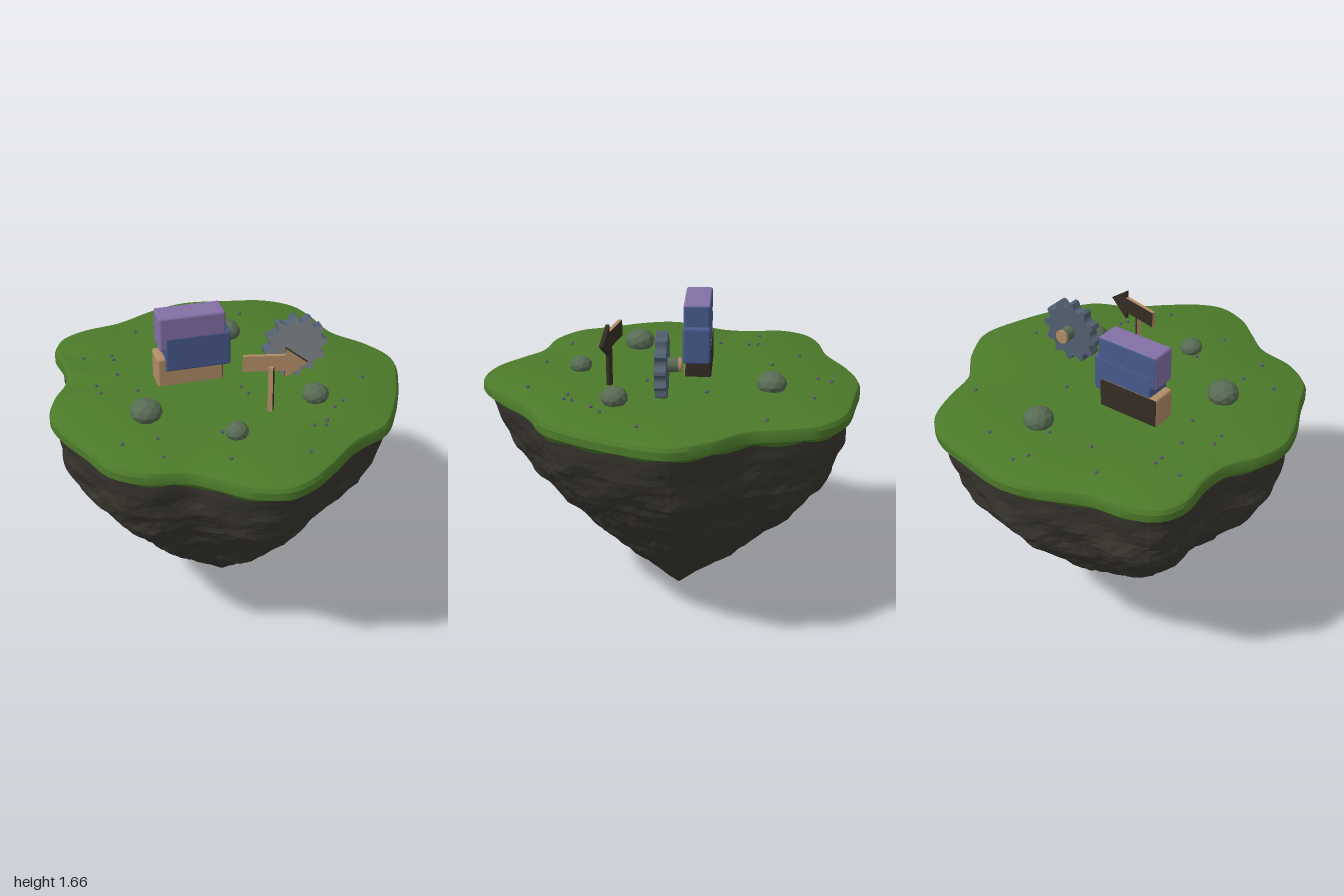
import * as THREE from 'three';
import { toCreasedNormals } from 'three/addons/utils/BufferGeometryUtils.js';
import { RoundedBoxGeometry } from 'three/addons/geometries/RoundedBoxGeometry.js';

const mat = (name, color) => Object.assign(new THREE.MeshStandardMaterial({ color }), { name });

export function createModel() {
  const grass = mat('grass green', 0x4c7a2a);
  const rock = mat('rock brown', 0x39362f);
  const tan = mat('tan wood', 0xb08c66);
  const dark = mat('dark wood', 0x332c23);
  const blue = mat('block blue', 0x485a8c);
  const purple = mat('block purple', 0x8270a4);
  const grey = mat('gear grey', 0x8b9092);
  const slate = mat('gear slate', 0x526070);
  const leaf = mat('bush green', 0x586c54);
  const pebble = mat('pebble violet', 0x5c5678);

  const model = new THREE.Group();
  model.name = 'floatingIsland';
  const add = (name, geometry, material, x = 0, y = 0, z = 0, parent = model) => {
    const mesh = new THREE.Mesh(geometry, material);
    mesh.name = name;
    mesh.position.set(x, y, z);
    parent.add(mesh);
    return mesh;
  };
  const GROUND = 1.262;

  // Wavy island outline as x, z pairs
  const outline = [
    0, -1, 0.24, -0.965, 0.48, -0.905, 0.62, -0.79, 0.68, -0.63, 0.73, -0.42, 0.87, -0.24, 0.95, -0.05,
    0.89, 0.19, 0.785, 0.42, 0.67, 0.59, 0.48, 0.69, 0.3, 0.85, 0.16, 0.955, 0.04, 0.997, -0.13, 0.95,
    -0.26, 0.85, -0.39, 0.75, -0.6, 0.7, -0.75, 0.59, -0.825, 0.42, -0.92, 0.21, -0.95, 0.05, -0.91, -0.1,
    -0.82, -0.26, -0.8, -0.42, -0.82, -0.61, -0.76, -0.74, -0.63, -0.81, -0.42, -0.85, -0.2, -0.95,
  ];
  const knots = [];
  for (let i = 0; i < outline.length; i += 2) knots.push(new THREE.Vector3(outline[i], 0, outline[i + 1]));
  const curve = new THREE.CatmullRomCurve3(knots, true);
  const CX = -0.025, CZ = -0.045;

  // Skin a stack of closed rings; point(i, ring, edge) gives each vertex
  const skin = (segments, rings, point) => {
    const edge = curve.getSpacedPoints(segments);
    const positions = [], index = [];
    for (let k = 0; k < rings; k++) {
      for (let i = 0; i < segments; i++) positions.push(...point(i, k, edge[i]));
    }
    for (let k = 0; k < rings - 1; k++) {
      for (let i = 0; i < segments; i++) {
        const a = k * segments + i, b = k * segments + (i + 1) % segments;
        index.push(a, b + segments, a + segments, a, b, b + segments);
      }
    }
    const g = new THREE.BufferGeometry();
    g.setAttribute('position', new THREE.Float32BufferAttribute(positions, 3));
    g.setIndex(index);
    return g;
  };

  // Turf: flat top, rounded rim and softly scalloped lower edge
  const turfProfile = [[0, GROUND], [0.5, GROUND], [0.972, GROUND], [0.988, 1.255], [1, 1.235], [1, 1.195], [0.975, 1.167], [0.945, 1.19]];
  const turf = skin(240, turfProfile.length, (i, k, p) => {
    const [s, y] = turfProfile[k];
    const drip = k === 6 ? 0.016 * (1 - Math.abs(Math.sin(i * Math.PI / 10))) + 0.005 * Math.sin(i * Math.PI / 24) : 0;
    return [CX + (p.x - CX) * s, y + drip, CZ + (p.z - CZ) * s];
  });
  add('turf', toCreasedNormals(turf, 0.5), grass);

  // Rock: tapering craggy cone, its lobes fading with depth
  const rockProfile = [[1.2, 0.968], [1.1, 0.95], [1, 0.928], [0.88, 0.892], [0.8, 0.845], [0.7, 0.765], [0.6, 0.67],
    [0.5, 0.575], [0.4, 0.48], [0.3, 0.36], [0.2, 0.235], [0.1, 0.115], [0, 0]];
  const radiusAt = (y) => {
    const k = Math.min(11, rockProfile.findIndex((q, j) => j === 12 || y >= rockProfile[j + 1][0]));
    const [y0, r0] = rockProfile[k], [y1, r1] = rockProfile[k + 1];
    return THREE.MathUtils.lerp(r0, r1, (y0 - y) / (y0 - y1));
  };
  let seed = 7;
  const rand = () => (seed = (seed * 16807) % 2147483647) / 2147483647;
  const crag = (x, y, z) => 0.012 * Math.sin(9 * x + 7 * y + 2) * Math.cos(8 * z - 6 * y)
    + 0.008 * Math.sin(17 * x - 19 * y + 9 * z) + 0.007 * Math.sin(27 * y + 14 * z - 12 * x)
    + 0.004 * Math.sin(41 * y + 23 * x + 5);
  const RINGS = 34;
  const cone = skin(110, RINGS, (i, k, p) => {
    const f = k / (RINGS - 1), y0 = 1.2 * (1 - f);
    const dx = p.x - CX, dz = p.z - CZ, d = Math.hypot(dx, dz);
    const base = THREE.MathUtils.lerp(d, 0.93, 0.45 * f);
    const lean = 1 + 0.1 * Math.sin(f * Math.PI) ** 2 * (-0.5 * dx - 0.4 * dz) / d;
    const fade = Math.min(1, f * 4, (1 - f) * 3);
    const r = base * radiusAt(y0) * lean + fade * (crag(dx * (1 - f), y0, dz * (1 - f)) + (rand() - 0.5) * 0.009);
    const y = y0 + fade * (rand() - 0.5) * 0.01;
    return [CX + dx / d * r, y, CZ + dz / d * r];
  }).toNonIndexed();
  cone.computeVertexNormals();
  add('rockBase', cone, rock);

  // Three stacked blocks; materials run +x, -x, top, bottom, front, back
  const block = (name, x, y, z, w, h, depth, light, shade) => add(name,
    new RoundedBoxGeometry(w, h, depth, 3, 0.013), [shade, light, light, shade, light, shade], x, y, z);
  block('bottomBlock', -0.178, 1.335, -0.144, 0.355, 0.17, 0.142, tan, dark);
  block('middleBlock', -0.138, 1.443, -0.137, 0.352, 0.197, 0.146, blue, blue);
  block('topBlock', -0.166, 1.562, -0.137, 0.355, 0.19, 0.142, purple, blue);

  // Gear: grey front half, slate back half, axle behind
  const gear = new THREE.Group();
  gear.name = 'gear';
  gear.position.set(0.36, 1.46, 0);
  model.add(gear);
  const TEETH = 12;
  const gearPoints = [];
  for (let t = 0; t < TEETH; t++) {
    for (const [offset, r] of [[-0.4, 0.142], [-0.3, 0.145], [-0.2, 0.162], [-0.1, 0.172], [0.1, 0.172], [0.2, 0.162], [0.3, 0.145], [0.4, 0.142]]) {
      const a = (t + offset) / TEETH * Math.PI * 2 + 0.06;
      gearPoints.push(new THREE.Vector2(Math.cos(a) * r, Math.sin(a) * r));
    }
  }
  const half = () => toCreasedNormals(
    new THREE.ExtrudeGeometry(new THREE.Shape(gearPoints), { depth: 0.029, bevelEnabled: false }), 0.9);
  add('gearFront', half(), [grey, slate], 0, 0, 0.02, gear);
  add('gearBack', half(), slate, 0, 0, -0.009, gear);
  const rod = (length) => new THREE.CylinderGeometry(0.037, 0.037, length, 16).rotateX(Math.PI / 2);
  add('axle', rod(0.06), leaf, 0, 0, -0.033, gear);
  add('axleEnd', rod(0.015), tan, 0, 0, -0.0705, gear);

  // Arrow sign on a post: tan front and shaft edges, dark back
  const sign = new THREE.Group();
  sign.name = 'arrowSign';
  sign.position.set(0.147, 0, 0.293);
  sign.rotation.y = -0.21;
  model.add(sign);
  const boardFaces = [dark, tan, tan, dark, tan, dark];
  add('arrowShaft', new THREE.BoxGeometry(0.212, 0.086, 0.02), boardFaces, -0.036, 1.531, 0, sign);
  const headShape = new THREE.Shape([[0.07, -0.083], [0.183, 0], [0.07, 0.083]].map(([x, y]) => new THREE.Vector2(x, y)));
  const head = () => new THREE.ExtrudeGeometry(headShape, { depth: 0.01, bevelEnabled: false });
  add('arrowHeadFront', head(), [tan, dark], 0, 1.531, 0, sign);
  add('arrowHeadBack', head(), dark, 0, 1.531, -0.01, sign);
  add('signPost', new THREE.BoxGeometry(0.026, 0.28, 0.022), boardFaces, 0, 1.375, 0.018, sign).rotation.y = -0.4;

  // Faceted bushes: x, z, radius, height
  [[0.14, -0.535, 0.08, 0.088], [-0.48, 0.205, 0.084, 0.1], [0.4, 0.26, 0.072, 0.088], [-0.085, 0.49, 0.061, 0.072]]
    .forEach(([x, z, r, h], i) => {
      const ball = new THREE.IcosahedronGeometry(1, 1);
      ball.computeVertexNormals();
      const bush = add('bush' + (i + 1), ball, leaf, x, GROUND + h - r * 0.78, z);
      bush.scale.set(r, r * 0.78, r);
      bush.rotation.y = i * 1.3;
    });

  // Pebbles scattered on the turf: x, z
  [[0.04, -0.85], [0, -0.78], [0.28, -0.75], [-0.35, -0.69], [-0.2, -0.54], [0.04, -0.57], [0.59, -0.51], [-0.68, -0.47],
    [-0.53, -0.46], [-0.53, -0.41], [-0.54, -0.25], [-0.67, -0.16], [-0.47, -0.06], [0.23, -0.2], [-0.66, -0.08], [0.06, 0.05],
    [0.08, 0.12], [0.71, 0.12], [0.53, 0.32], [0.47, 0.37], [0.39, 0.48], [0.31, 0.51], [0.37, 0.52], [-0.65, 0.43],
    [-0.47, 0.42], [-0.48, 0.59], [-0.17, 0.69], [-0.15, 0.45], [0.22, 0.73]]
    .forEach(([x, z], i) => {
      add('pebble' + (i + 1), new THREE.IcosahedronGeometry(0.01, 0), pebble, x, GROUND + 0.005, z);
    });

  return model;
}
